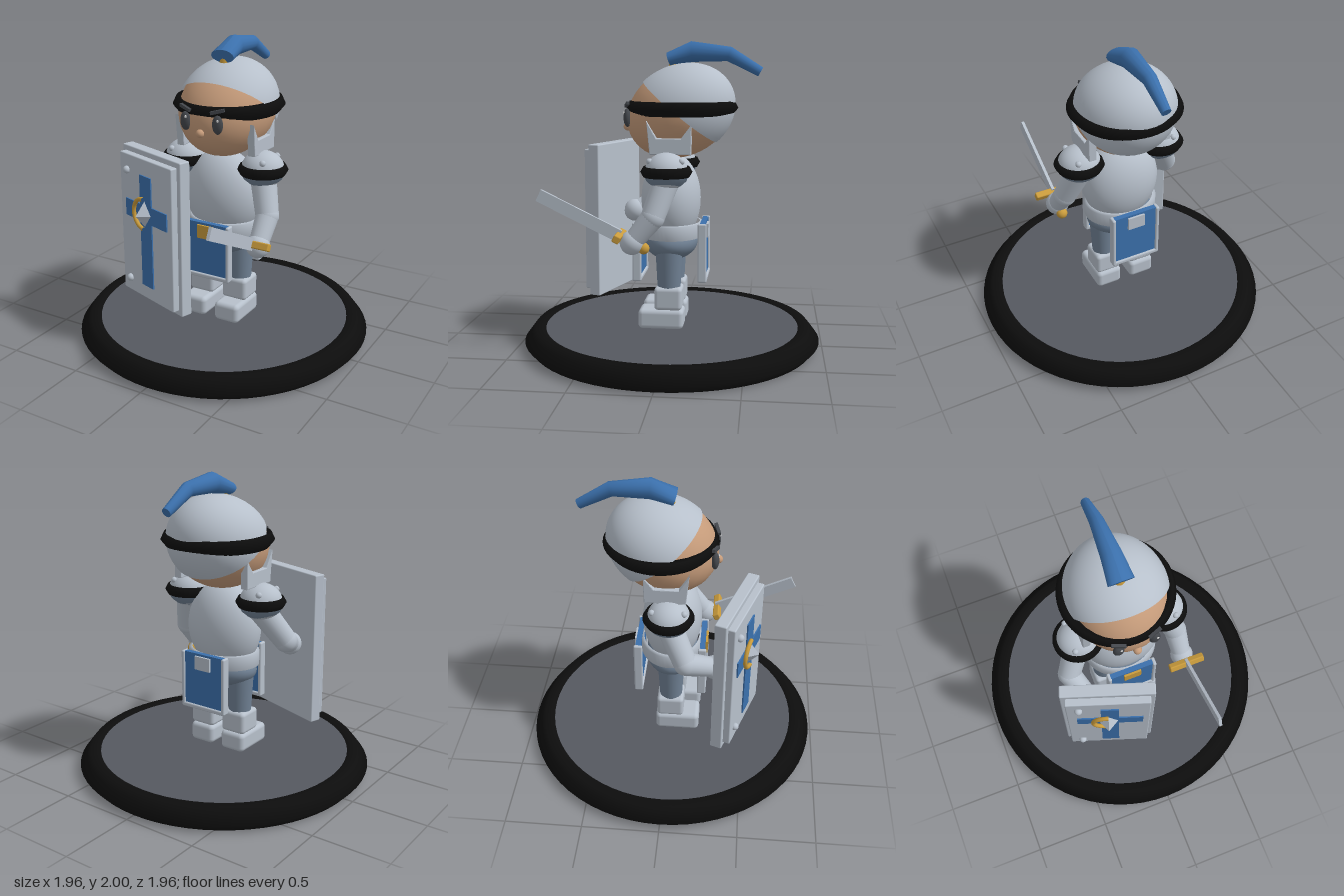
import * as THREE from 'three';
import { RoundedBoxGeometry } from 'three/addons/geometries/RoundedBoxGeometry.js';

const paint = (name, color) => Object.assign(new THREE.MeshStandardMaterial({ color }), { name });

export function createModel() {
  const root = new THREE.Group();
  root.name = 'knightFigure';
  const steel = paint('paleSteel', 0xb7c0cb);
  const darkSteel = paint('darkSteel', 0x708194);
  const blue = paint('clothBlue', 0x3b70ac);
  const skin = paint('skin', 0xc59b7a);
  const gold = paint('gold', 0xc99b3c);
  const black = paint('blackTrim', 0x0d0d0d);
  const stone = paint('baseGrey', 0x555860);
  const dark = paint('eyeGrey', 0x44474c);
  const white = paint('eyeGlint', 0xd8d8d8);

  const add = (name, geo, mat, pos = [0, 0, 0], parent = root) => {
    const m = new THREE.Mesh(geo, mat);
    m.name = name;
    m.position.set(...pos);
    parent.add(m);
    return m;
  };
  const box = (w, h, d) => new THREE.BoxGeometry(w, h, d);
  const rbox = (w, h, d, r = 0.02) => new RoundedBoxGeometry(w, h, d, 3, r);
  const ball = (rx, ry = rx, rz = rx) => new THREE.SphereGeometry(1, 32, 20).scale(rx, ry, rz);
  const lathe = (pts, n = 48) => new THREE.LatheGeometry(pts.map(p => new THREE.Vector2(...p)), n);
  const Y = new THREE.Vector3(0, 1, 0);
  const limb = (name, a, b, ra, rb, mat, parent = root) => {
    const A = new THREE.Vector3(...a), B = new THREE.Vector3(...b);
    const d = B.clone().sub(A);
    const m = add(name, new THREE.CylinderGeometry(rb, ra, d.length(), 24), mat, [0, 0, 0], parent);
    m.position.copy(A).add(B).multiplyScalar(0.5);
    m.quaternion.setFromUnitVectors(Y, d.normalize());
    return m;
  };

  // Display base with a black bevelled rim
  add('baseDisc', new THREE.CylinderGeometry(0.84, 0.935, 0.13, 64), stone, [0, 0.066, 0]);
  add('baseRim', lathe([[0.935, 0], [0.98, 0.05], [0.935, 0.11], [0.91, 0.14], [0.86, 0.14], [0.838, 0.128]], 64), black);

  // Legs
  for (const s of [1, -1]) {
    add('foot', rbox(0.18, 0.13, 0.295, 0.03), steel, [s * 0.125, 0.208, 0.053]);
    add('shin', rbox(0.18, 0.15, 0.18, 0.025), steel, [s * 0.125, 0.345, 0.005]);
    limb('thigh', [s * 0.128, 0.4, 0.005], [s * 0.13, 0.68, 0.005], 0.075, 0.09, darkSteel);
  }

  // Body and belt
  add('hips', ball(0.235, 0.12, 0.175), darkSteel, [0, 0.695, 0.005]);
  add('torso', ball(0.262, 0.3, 0.195), steel, [0, 0.98, 0.005]);
  const belt = add('belt', lathe([[0.9, -0.05], [1, -0.045], [1, 0.045], [0.9, 0.05]]), steel, [0, 0.78, 0]);
  belt.scale.set(0.248, 1, 0.205);

  // Hanging cloth panels with steel borders, front and back
  for (const s of [1, -1]) {
    const panel = new THREE.Group();
    panel.name = s > 0 ? 'frontTabard' : 'backTabard';
    panel.position.z = s * 0.213;
    if (s < 0) panel.rotation.y = Math.PI;
    root.add(panel);
    add('cloth', box(0.31, 0.36, 0.035), blue, [0, 0.655, 0], panel);
    for (const e of [1, -1]) add('sideBorder', rbox(0.025, 0.385, 0.058, 0.01), steel, [e * 0.16, 0.645, 0], panel);
    add('bottomBorder', rbox(0.34, 0.03, 0.058, 0.01), steel, [0, 0.465, 0], panel);
    add('buckle', box(0.12, 0.09, 0.02), s > 0 ? gold : steel, [0, 0.775, 0.022], panel);
  }

  // Head and the tilted helmet shell
  const head = new THREE.Group();
  head.name = 'head';
  head.position.set(0, 1.55, -0.055);
  head.rotation.x = 0.45;
  root.add(head);
  add('face', ball(0.31, 0.29, 0.36), skin, [0, 0, 0], head);
  const shell = new THREE.SphereGeometry(1, 48, 20, 0, Math.PI * 2, 0, Math.PI / 2);
  const shellMat = steel;
  add('helmet', shell.rotateX(-1.21).scale(0.327, 0.3, 0.37), shellMat, [0, 0, 0], head);

  // Head band
  const band = add('headBand', lathe([[0.82, -0.045], [0.9, -0.045], [1, 0], [0.94, 0.045], [0.82, 0.045], [0.82, -0.045]]), black, [0, 1.575, -0.067]);
  band.scale.set(0.363, 1, 0.363);

  // Facial features and cheek guards
  add('nose', ball(0.027), skin, [0, 1.45, 0.293]);
  const guard = new THREE.Shape([[0.127, 1.495], [0.07, 1.39], [-0.09, 1.39], [-0.15, 1.475], [-0.145, 1.3], [0.105, 1.3]]
    .map(([z, y]) => new THREE.Vector2(-z, y)));
  for (const s of [1, -1]) {
    add('eye', ball(0.036, 0.06, 0.025), dark, [s * 0.115, 1.515, 0.275]);
    add('eyeGlint', ball(0.008, 0.01, 0.005), white, [s * 0.115 + 0.012, 1.545, 0.296]);
    const brow = add('brow', box(0.09, 0.02, 0.02), dark, [s * 0.115, 1.598, 0.277]);
    brow.rotation.set(0, s * 0.3, s * 0.25);
    const g = new THREE.ExtrudeGeometry(guard, { depth: 0.04, bevelEnabled: true, bevelSize: 0.006, bevelThickness: 0.006, bevelSegments: 2 });
    add('cheekGuard', g.translate(0, 0, -0.02).rotateY(Math.PI / 2), steel, [s * 0.263, 0, 0]);
  }

  // Plume: a tapered cylinder bent through four stations [y, z, half width, half height]
  const stations = [[1.885, 0.02, 0.082, 0.045], [1.934, -0.13, 0.066, 0.066], [1.918, -0.37, 0.045, 0.047], [1.805, -0.57, 0.03, 0.032]];
  const plume = new THREE.CylinderGeometry(1, 1, 1, 16, 3);
  const p = plume.attributes.position;
  for (let i = 0; i < p.count; i++) {
    const k = Math.round((p.getY(i) + 0.5) * 3);
    const [y, z, w, h] = stations[k];
    const a = stations[Math.max(k - 1, 0)], b = stations[Math.min(k + 1, 3)];
    const len = Math.hypot(b[0] - a[0], b[1] - a[1]);
    const dy = (b[0] - a[0]) / len, dz = (b[1] - a[1]) / len, q = p.getZ(i) * h;
    p.setXYZ(i, p.getX(i) * w, y - dz * q, z + dy * q);
  }
  plume.computeVertexNormals();
  add('plume', plume, blue);
  add('plumeSocket', new THREE.CylinderGeometry(0.035, 0.045, 0.05, 20), gold, [0, 1.845, -0.02]);

  // Shoulder armour
  for (const s of [1, -1]) {
    const sh = new THREE.Group();
    sh.name = 'shoulderArmour';
    sh.position.set(s * 0.288, 1.19, 0.003);
    root.add(sh);
    add('shoulderDome', ball(0.14, 0.12, 0.135), steel, [0, 0, 0], sh);
    add('shoulderUnder', ball(0.13, 0.092, 0.13), darkSteel, [0, -0.005, 0], sh).position.y = -0.01;
    add('shoulderLower', lathe([[0.09, -0.09], [0.125, -0.06], [0.142, -0.02]], 32), darkSteel, [0, 0, 0], sh);
    add('shoulderBand', lathe([[0.13, -0.032], [0.145, -0.032], [0.163, 0], [0.145, 0.032], [0.12, 0.032]], 40), black, [0, 0, 0], sh);
    for (const e of [1, -1]) add('rivet', ball(0.02), steel, [s * 0.05, 0.068, e * 0.1], sh);
  }

  // Arms
  const arm = (name, shoulder, elbow, hand) => {
    const g = new THREE.Group();
    g.name = name;
    root.add(g);
    limb('upperArm', shoulder, elbow, 0.085, 0.075, steel, g);
    add('elbow', ball(0.076), steel, elbow, g);
    limb('forearm', elbow, hand, 0.075, 0.062, steel, g);
    add('hand', ball(0.077), steel, hand, g);
  };
  arm('leftArm', [0.29, 1.14, 0], [0.365, 0.91, 0.08], [0.37, 0.75, 0.21]);
  arm('rightArm', [-0.29, 1.14, 0], [-0.405, 0.92, 0.12], [-0.33, 0.84, 0.3]);

  // Sword, pointing forward and slightly up
  const sword = new THREE.Group();
  sword.name = 'sword';
  sword.position.set(0.37, 0.79, 0.29);
  sword.rotation.x = -0.455;
  root.add(sword);
  add('blade', box(0.02, 0.08, 0.57), steel, [0, 0, 0.285], sword);
  add('crossGuard', rbox(0.245, 0.048, 0.045, 0.008), gold, [0, 0, 0], sword);
  add('grip', new THREE.CylinderGeometry(0.025, 0.025, 0.16, 16).rotateX(Math.PI / 2), gold, [0, 0, -0.08], sword);
  add('pommel', ball(0.037), gold, [0, 0, -0.17], sword);

  // Shield with cross, crescent and spike
  const shield = new THREE.Group();
  shield.name = 'shield';
  shield.position.set(-0.247, 0.82, 0.426);
  shield.rotation.y = -0.327;
  root.add(shield);
  add('shieldBack', rbox(0.59, 1.02, 0.078, 0.008), steel, [0, 0, 0], shield);
  add('shieldFront', rbox(0.53, 0.95, 0.06, 0.008), steel, [0, 0, 0.055], shield);
  add('crossUpright', box(0.115, 0.75, 0.009), blue, [0.01, -0.005, 0.0895], shield);
  add('crossBar', box(0.425, 0.115, 0.009), blue, [0.01, 0.12, 0.0895], shield);
  const crescent = add('crescent', new THREE.TorusGeometry(0.1, 0.014, 10, 28, Math.PI), gold, [0, 0.12, 0.105], shield);
  crescent.rotation.z = Math.PI / 2;
  const spike = new THREE.OctahedronGeometry(1).scale(0.062, 0.085, 0.07);
  add('spike', spike, steel, [0, 0.12, 0.094], shield);
  for (const y of [0.37, -0.38]) add('shieldRivet', ball(0.025), steel, [-0.185, y, 0.09], shield);

  return root;
}
